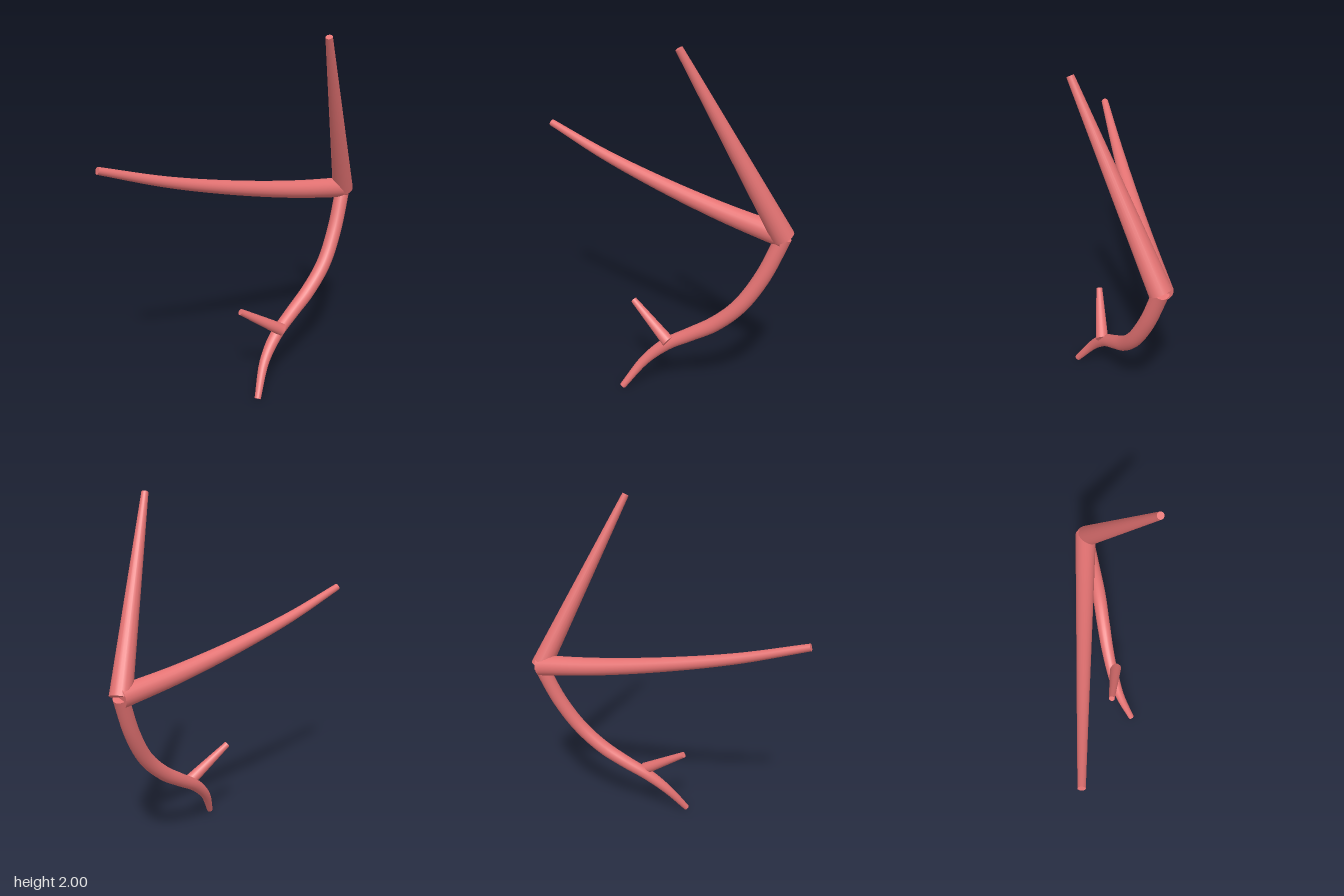
import * as THREE from 'three';
import { mergeGeometries } from 'three/addons/utils/BufferGeometryUtils.js';

const SIDES = 20;

// Flat disc closing a branch end, facing along dir
function endCap(center, dir, radius) {
  const cap = new THREE.CircleGeometry(radius, SIDES);
  cap.applyQuaternion(new THREE.Quaternion().setFromUnitVectors(new THREE.Vector3(0, 0, 1), dir));
  return cap.translate(center.x, center.y, center.z);
}

// Round branch along the points; radii are spread evenly from start to end
function branch(name, points, radii, rings, material) {
  const curve = new THREE.CatmullRomCurve3(points.map(p => new THREE.Vector3(...p)));
  const radiusAt = t => {
    const s = t * (radii.length - 1);
    const i = Math.min(Math.floor(s), radii.length - 2);
    return THREE.MathUtils.lerp(radii[i], radii[i + 1], s - i);
  };
  const tube = new THREE.TubeGeometry(curve, rings, 1, SIDES, false);
  const pos = tube.attributes.position;
  const v = new THREE.Vector3();
  for (let i = 0; i <= rings; i++) {
    const center = curve.getPointAt(i / rings);
    for (let j = 0; j <= SIDES; j++) {
      const k = i * (SIDES + 1) + j;
      v.fromBufferAttribute(pos, k).sub(center).multiplyScalar(radiusAt(i / rings)).add(center);
      pos.setXYZ(k, v.x, v.y, v.z);
    }
  }
  const geometry = mergeGeometries([
    tube,
    endCap(curve.getPointAt(0), curve.getTangentAt(0).negate(), radiusAt(0)),
    endCap(curve.getPointAt(1), curve.getTangentAt(1), radiusAt(1)),
  ]);
  const mesh = new THREE.Mesh(geometry, material);
  mesh.name = name;
  return mesh;
}

export function createModel() {
  const group = new THREE.Group();
  group.name = 'branchingCoral';
  const material = new THREE.MeshStandardMaterial({ color: 0xe57373 });

  group.add(
    // Curved stem from the lower tip up to the fork
    branch('stem', [
      [0.098, 0.01, 0.31], [0.145, 0.177, 0.19], [0.22, 0.294, 0.092], [0.32, 0.385, -0.005],
      [0.425, 0.48, -0.095], [0.527, 0.616, -0.185], [0.6, 0.8, -0.273], [0.655, 1.035, -0.355],
    ], [0.018, 0.034, 0.041, 0.042, 0.042], 40, material),
    // Long sweeping branch
    branch('longBranch', [
      [0.66, 1.038, -0.358], [0.35, 1.085, -0.19], [0, 1.16, 0], [-0.37, 1.262, 0.2], [-0.71, 1.385, 0.385],
    ], [0.06, 0.02], 30, material),
    // Straight upright branch
    branch('uprightBranch', [
      [0.655, 1.035, -0.352], [0.452, 1.992, 0.145],
    ], [0.06, 0.019], 1, material),
    // Small side twig on the stem
    branch('sideTwig', [
      [0.25, 0.328, 0.095], [0.008, 0.497, 0.192],
    ], [0.036, 0.018], 1, material),
  );
  return group;
}
